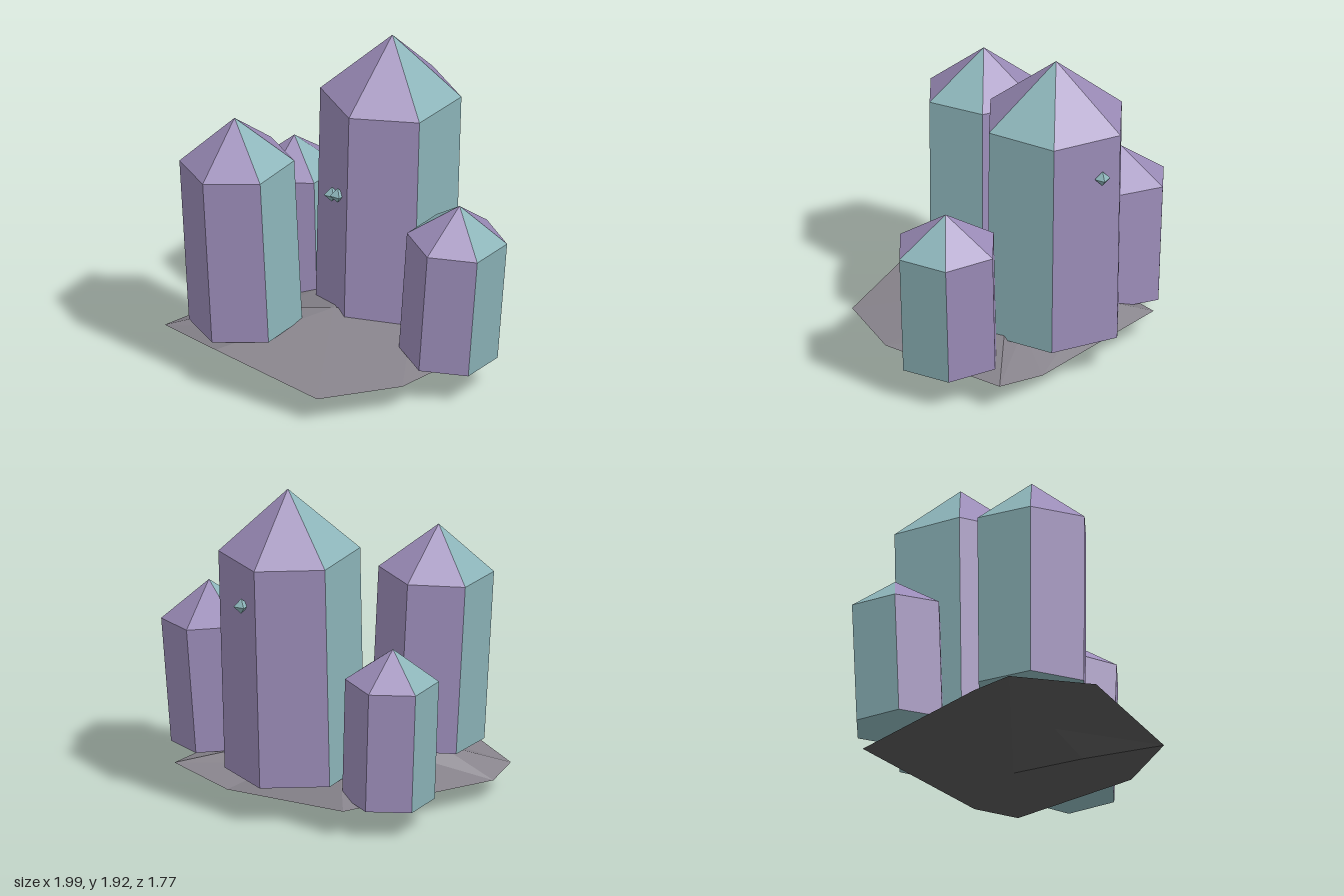
import * as THREE from 'three';

const mat = (name, color) => {
  const m = new THREE.MeshStandardMaterial({ color });
  m.name = name;
  return m;
};

const flat = (geometry) => {
  const g = geometry.index ? geometry.toNonIndexed() : geometry;
  g.computeVertexNormals();
  return g;
};

const addMesh = (parent, name, geometry, material) => {
  const m = new THREE.Mesh(geometry, material);
  m.name = name;
  parent.add(m);
  return m;
};

// Joins two closed rings of points (lower, upper) with outward faces
function band(lower, upper) {
  const out = [];
  const n = lower.length;
  for (let i = 0; i < n; i++) {
    const j = (i + 1) % n;
    out.push(...lower[i], ...lower[j], ...upper[j], ...lower[i], ...upper[j], ...upper[i]);
  }
  return out;
}

function facets(positions) {
  const g = new THREE.BufferGeometry();
  g.setAttribute('position', new THREE.Float32BufferAttribute(positions, 3));
  return flat(g);
}

export function createModel() {
  const root = new THREE.Group();
  root.name = 'crystalCluster';

  const purple = mat('purpleCrystal', 0x9b8cb8);
  const teal = mat('tealCrystal', 0x8cb4b9);
  const rock = mat('greyRock', 0x86828a);
  const under = mat('darkRock', 0x575757);

  // Rock slab: jagged rim, counter-clockwise from the front as seen from above
  const rim = [
    [-0.04, 0.16, 0.88], [0.43, 0.165, 0.68], [0.92, 0.16, 0.02], [0.62, 0.08, -0.22],
    [-0.04, 0.16, -0.84], [-0.9, 0.12, -0.18], [-1, 0.16, 0.02], [-0.66, 0.26, 0.51],
  ];
  const peak = [-0.03, 0.32, 0.02];
  const foot = [-0.03, 0, 0.02];
  const between = (p, c, t) => p.map((v, i) => v + (c[i] - v) * t);
  const upper = rim.map((p) => between(p, peak, 0.5));
  upper[2] = [0.42, 0.28, 0];
  upper[4] = [-0.03, 0.24, -0.5];
  upper[6] = [-0.58, 0.28, 0];
  const lower = rim.map((p) => between(p, foot, 0.5));
  lower[0] = [-0.15, 0.03, 0.42];
  const fan = (c) => rim.map(() => c);
  addMesh(root, 'rockTop', facets([...band(rim, upper), ...band(upper, fan(peak))]), rock);
  addMesh(root, 'rockUnderside', facets([...band(fan(foot), lower), ...band(lower, rim)]), under);

  // Six-sided crystals, leaning from their base towards their shoulder
  const paint = (geometry, perFace) => {
    const g = flat(geometry);
    g.clearGroups();
    for (let i = 0; i < 6; i++) g.addGroup(i * perFace, perFace, i % 3 === 0 ? 1 : 0);
    return g;
  };
  const crystal = (name, base, shoulder, r, tipHeight) => {
    const a = new THREE.Vector3(...base);
    const axis = new THREE.Vector3(...shoulder).sub(a);
    const h = axis.length();
    const group = new THREE.Group();
    group.name = name;
    group.position.copy(a);
    group.quaternion.setFromUnitVectors(new THREE.Vector3(0, 1, 0), axis.normalize());

    const shaft = new THREE.CylinderGeometry(r, r * 0.985, h, 6, 1, true, Math.PI / 6);
    shaft.translate(0, h / 2, 0).scale(1, 1, 1.07);
    addMesh(group, 'shaft', paint(shaft, 6), [purple, teal]);

    const tip = new THREE.ConeGeometry(r, tipHeight, 6, 1, true, Math.PI / 6);
    tip.translate(0, h + tipHeight / 2, 0).scale(1, 1, 1.07);
    addMesh(group, 'tip', paint(tip, 3), [purple, teal]);

    const end = new THREE.CircleGeometry(r * 0.985, 6);
    end.rotateX(Math.PI / 2).scale(1, 1, 1.07);
    addMesh(group, 'bottom', flat(end), teal);
    root.add(group);
  };
  crystal('tallCrystal', [0.235, 0.24, -0.272], [0.265, 1.555, -0.286], 0.405, 0.365);
  crystal('leftFrontCrystal', [-0.525, 0.28, 0.14], [-0.575, 1.288, 0.14], 0.33, 0.272);
  crystal('rightFrontCrystal', [0.655, 0.212, 0.31], [0.707, 0.948, 0.327], 0.288, 0.212);
  crystal('backCrystal', [-0.3, 0.17, -0.62], [-0.32, 0.885, -0.642], 0.268, 0.19);

  // Small floating shards
  const shards = [[-0.05, 1.0, -0.06], [-0.01, 1.03, 0.01], [0.54, 1.305, -0.56]];
  shards.forEach((p) => {
    const shard = addMesh(root, 'shard', flat(new THREE.OctahedronGeometry(0.046)), teal);
    shard.position.set(...p);
    shard.rotation.y = 0.3;
  });

  return root;
}
